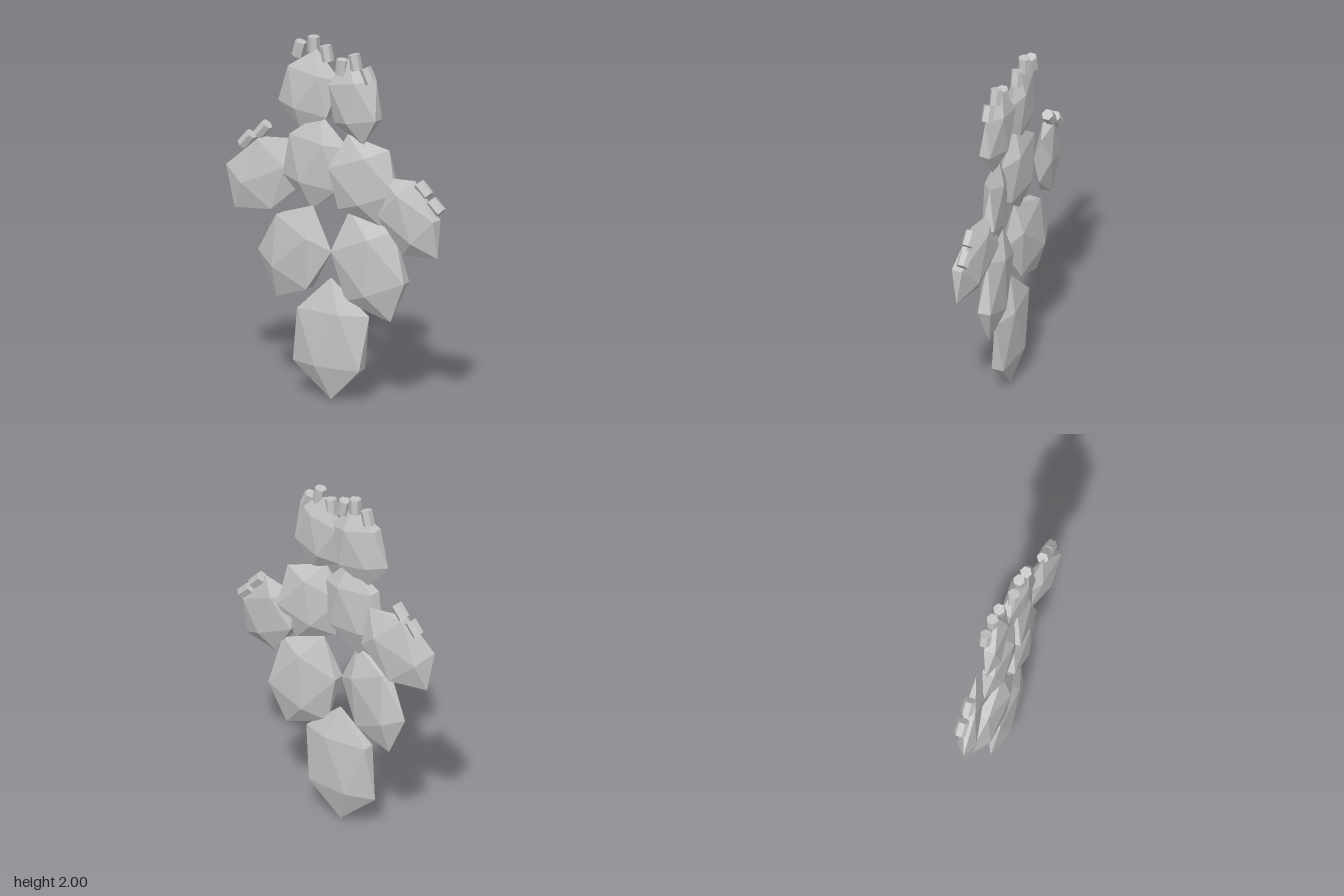
import * as THREE from 'three';
import { ConvexGeometry } from 'three/addons/geometries/ConvexGeometry.js';

// Upright twelve-point gem: two poles and two staggered rings of five
function padGeometry(rx, ry, rz) {
  const points = [new THREE.Vector3(0, ry, 0), new THREE.Vector3(0, -ry, 0)];
  const ringY = 1 / Math.sqrt(5), ringR = 2 / Math.sqrt(5);
  for (let i = 0; i < 5; i++) {
    const a = (i * 2 * Math.PI) / 5;
    const x = Math.cos(a) * ringR * rx, z = Math.sin(a) * ringR * rz;
    points.push(new THREE.Vector3(x, ringY * ry, z), new THREE.Vector3(-x, -ringY * ry, -z));
  }
  return new ConvexGeometry(points);
}

export function createModel() {
  const model = new THREE.Group();
  model.name = 'pricklyPear';
  const grey = new THREE.MeshStandardMaterial({ color: 0xc6c6c6, flatShading: true });
  grey.name = 'lightGrey';

  // Flattened pads: name, centre, radii, yaw, lean in degrees
  const pads = [
    ['basePad', [-0.03, 0.342, 0.015], [0.26, 0.34, 0.065], 0.02, 0],
    ['lowerRightPad', [-0.25, 0.8, 0.02], [0.235, 0.3, 0.065], -0.13, -24],
    ['lowerLeftPad', [0.203, 0.775, 0.003], [0.239, 0.32, 0.068], 0.1, 22],
    ['middleRightPad', [-0.123, 1.315, 0.015], [0.222, 0.273, 0.065], -0.04, -6],
    ['middleLeftPad', [0.174, 1.257, 0.02], [0.22, 0.262, 0.063], 0.2, 20],
    ['outerRightPad', [-0.453, 1.193, -0.02], [0.21, 0.271, 0.06], 0.2, -40],
    ['outerLeftPad', [0.452, 1.085, 0.017], [0.202, 0.273, 0.06], -0.15, 45],
    ['topRightPad', [-0.165, 1.703, 0.01], [0.188, 0.242, 0.06], 0.08, -10.5],
    ['topLeftPad', [0.125, 1.685, 0.025], [0.184, 0.24, 0.06], -0.08, 12],
  ];
  for (const [name, centre, radii, yaw, lean] of pads) {
    const pad = new THREE.Mesh(padGeometry(...radii), grey);
    pad.name = name;
    pad.position.set(...centre);
    pad.rotation.set(0, yaw, THREE.MathUtils.degToRad(lean));
    model.add(pad);
  }

  // Six-sided buds on the upper and outer pads: centre, lean in degrees
  const buds = [
    [-0.243, 1.918, -0.018, -15],
    [-0.153, 1.957, -0.013, 0],
    [-0.067, 1.92, -0.005, 12],
    [0.045, 1.87, 0.03, -6],
    [0.13, 1.91, 0.033, 12],
    [0.215, 1.85, 0.042, 25],
    [-0.57, 1.363, -0.025, -40],
    [-0.472, 1.432, -0.025, -40],
    [0.54, 1.255, 0.015, 45],
    [0.615, 1.17, 0.012, 47],
  ];
  const budGeometry = new THREE.CylinderGeometry(0.033, 0.033, 0.086, 6);
  const budGroup = new THREE.Group();
  budGroup.name = 'buds';
  buds.forEach(([x, y, z, lean], i) => {
    const bud = new THREE.Mesh(budGeometry, grey);
    bud.name = `bud${i + 1}`;
    bud.position.set(x, y, z);
    bud.rotation.z = THREE.MathUtils.degToRad(lean);
    budGroup.add(bud);
  });
  model.add(budGroup);
  return model;
}
